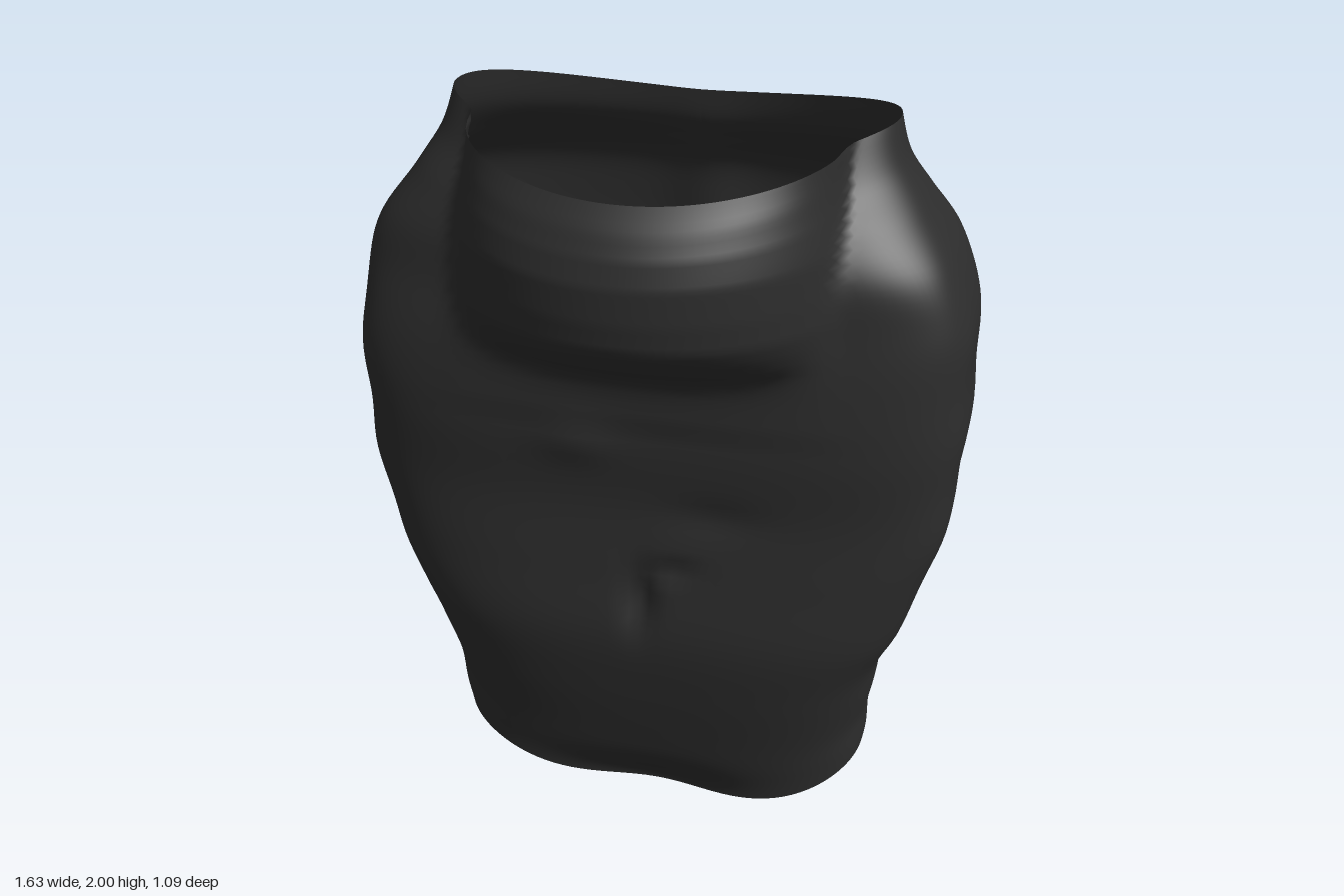
import * as THREE from 'three';

// Skirt sections from hem to waist:
// y, half width, widest z, front z, front squareness, back z, back squareness
const BODY = [
  [0.00, 0.585, -0.04, 0.195, 3.6, -0.22, 2.5],
  [0.08, 0.590, -0.03, 0.205, 3.5, -0.22, 2.5],
  [0.20, 0.600, -0.02, 0.23, 3.2, -0.225, 2.5],
  [0.40, 0.620, 0.00, 0.275, 3.2, -0.26, 2.5],
  [0.60, 0.675, 0.01, 0.305, 3.3, -0.33, 2.5],
  [0.80, 0.745, 0.01, 0.295, 3.5, -0.415, 2.6],
  [1.00, 0.790, 0.01, 0.285, 3.6, -0.495, 2.8],
  [1.20, 0.805, 0.00, 0.30, 3.6, -0.535, 3.0],
  [1.40, 0.812, 0.00, 0.295, 3.6, -0.545, 3.0],
  [1.55, 0.795, 0.00, 0.285, 3.5, -0.54, 3.0],
  [1.68, 0.755, -0.01, 0.28, 3.3, -0.52, 2.9],
  [1.80, 0.670, -0.04, 0.26, 2.8, -0.46, 2.6],
  [1.90, 0.605, -0.07, 0.23, 2.3, -0.41, 2.3],
  [2.00, 0.575, -0.08, 0.20, 1.9, -0.395, 2.2],
];
// Height and reach of the loose overhang at the front of the waist
const OVERHANG = [
  [1.25, 0.1], [1.38, 0.25], [1.44, 0.35], [1.48, 0.43], [1.53, 0.49], [1.58, 0.53],
  [1.66, 0.54], [1.78, 0.54], [1.87, 0.52], [1.94, 0.49], [2, 0.445],
];
// Height and depth of the peaked vent at the back
const VENT = [[0, 0.18], [0.2, 0.175], [0.4, 0.14], [0.6, 0.09], [0.8, 0.03], [0.95, 0], [2, 0]];

const splines = [0, 1, 2, 3, 4, 5, 6].map(
  (c) => new THREE.SplineCurve(BODY.map((row, i) => new THREE.Vector2(i, row[c]))));

function lookUp(table, y) {
  let i = 0;
  while (i < table.length - 2 && y > table[i + 1][0]) i++;
  const [a, b] = [table[i], table[i + 1]];
  return THREE.MathUtils.lerp(a[1], b[1], THREE.MathUtils.clamp((y - a[0]) / (b[0] - a[0]), 0, 1));
}

const bump = (dx, dy, rx, ry) => Math.exp(-((dx / rx) ** 2) - (dy / ry) ** 2);
const softMax = (a, b, k) => (a + b + Math.hypot(a - b, k)) / 2;

// Point on the cloth: t runs from hem to waist, s once around from the back seam
function clothPoint(t, s) {
  const [y, w, zc, front, nf, back, nb] = splines.map((curve) => curve.getPoint(t).y);
  const angle = -Math.PI / 2 + s * Math.PI * 2;
  const c = Math.cos(angle), sn = Math.sin(angle);
  const isFront = sn > 0;
  // the front of the right hip is slimmer near the waist
  const slim = c < 0 ? 0.32 * bump(0, y - 1.64, 1, 0.22) : 0;
  const n = isFront ? nf * (1 - slim) : nb;
  const r = (Math.abs(c) ** n + Math.abs(sn) ** n) ** (-1 / n);
  let x = w * c * r;
  let z = zc + (isFront ? front - zc : zc - back) * sn * r;
  const side = Math.min(1, Math.abs(x / w));

  if (isFront) {
    // overhang blended into the hips
    if (y > 1.25) {
      const half = 0.5 - 0.03 * THREE.MathUtils.smoothstep(y, 1.75, 2);
      const arc = Math.sqrt(Math.max(0, 1 - (x / half) ** 2));
      const beyond = Math.max(0, Math.abs(x) - half);
      z = softMax(z, 0.1 + (lookUp(OVERHANG, y) - 0.1) * arc - 4 * beyond, 0.08 * (1 - side * side));
    }
    // creases, and the hem tucked in at the centre
    z -= 0.04 * bump(x, y - 0.73, 0.035, 0.09);
    z -= 0.02 * bump(x - 0.09, y - 0.83, 0.06, 0.025);
    z += 0.015 * bump(x + 0.16, y - 1.2, 0.1, 0.06);
    z -= 0.012 * bump(x - 0.2, y - 1.0, 0.12, 0.05);
    z -= 0.065 * bump(x, y, 0.24, 0.09);
  } else {
    // centre hollow, vent, and the fullness over a tucked-in fold
    z += 0.03 * bump(x, y - 1.35, 0.1, 0.5);
    z -= lookUp(VENT, y) * Math.max(0, 1 - Math.abs(x) / 0.17);
    z -= 0.015 * bump(Math.abs(x) - 0.33, y - 1.05, 0.2, 0.12);
    z += 0.025 * bump(Math.abs(x) - 0.3, y - 0.76, 0.2, 0.13);
    z += 0.015 * bump(x - 0.3, y - 0.45, 0.12, 0.1);
  }
  // slight unevenness along the sides
  x *= 1 + 0.006 * Math.sin(y * 21 + Math.sign(x)) * side ** 4 * Math.min(1, (2 - y) * 3);

  // hem rises away from the front, waist dips at front and back
  const hem = isFront ? 0.16 * side ** (x > 0 ? 3.6 : 2.6) : 0.16 + 0.02 * Math.sin(Math.PI * side);
  const lift = hem * Math.max(0, 1 - y / 0.6);
  const dip = 0.08 * sn * sn * THREE.MathUtils.smoothstep(y, 1.6, 2);
  return [x, y + lift - dip, z];
}

function gridGeometry(rows, cols, pointAt) {
  const positions = [], index = [];
  for (let i = 0; i <= rows; i++) {
    for (let j = 0; j <= cols; j++) positions.push(...pointAt(i / rows, j / cols));
  }
  for (let i = 0; i < rows; i++) {
    for (let j = 0; j < cols; j++) {
      const a = i * (cols + 1) + j, up = a + cols + 1;
      index.push(a + 1, a, up, a + 1, up, up + 1);
    }
  }
  const geometry = new THREE.BufferGeometry();
  geometry.setAttribute('position', new THREE.Float32BufferAttribute(positions, 3));
  geometry.setIndex(index);
  geometry.computeVertexNormals();
  return geometry;
}

export function createModel() {
  const group = new THREE.Group();
  group.name = 'skirt';
  const cloth = new THREE.MeshStandardMaterial({ color: 0x2d2d2d });
  cloth.name = 'charcoal cloth';
  cloth.side = THREE.DoubleSide;

  // main tube, split along the vent at the back with one edge tucked under
  const rows = 90, cols = 160;
  const body = gridGeometry(rows, cols, (t, s) => {
    const p = clothPoint(t, s);
    if (s === 1) {
      const open = THREE.MathUtils.clamp((0.72 - p[1]) / 0.4, 0, 1);
      p[0] += 0.008 * open;
      p[2] += 0.03 * open;
    }
    return p;
  });
  // smooth the closed part of the back seam
  const pos = body.attributes.position, nor = body.attributes.normal;
  for (let i = 0; i <= rows; i++) {
    for (const k of [i * (cols + 1), i * (cols + 1) + cols]) {
      if (pos.getY(k) < 0.72) continue;
      const v = new THREE.Vector3(0, nor.getY(k), nor.getZ(k)).normalize();
      nor.setXYZ(k, v.x, v.y, v.z);
    }
  }
  const tube = new THREE.Mesh(body, cloth);
  tube.name = 'skirtBody';
  group.add(tube);

  // narrow folded pleat inside the front, fading upward
  const pleat = new THREE.Mesh(gridGeometry(16, 6, (t, s) => {
    const [, y, z] = clothPoint(t * 0.38, 0.5);
    const across = 1 - 2 * s, taper = 1 - t;
    return [across * 0.08 * taper, y + 0.01, z - 0.006 - 0.03 * taper * (1 - Math.abs(across))];
  }), cloth);
  pleat.name = 'innerPleat';
  group.add(pleat);

  return group;
}
